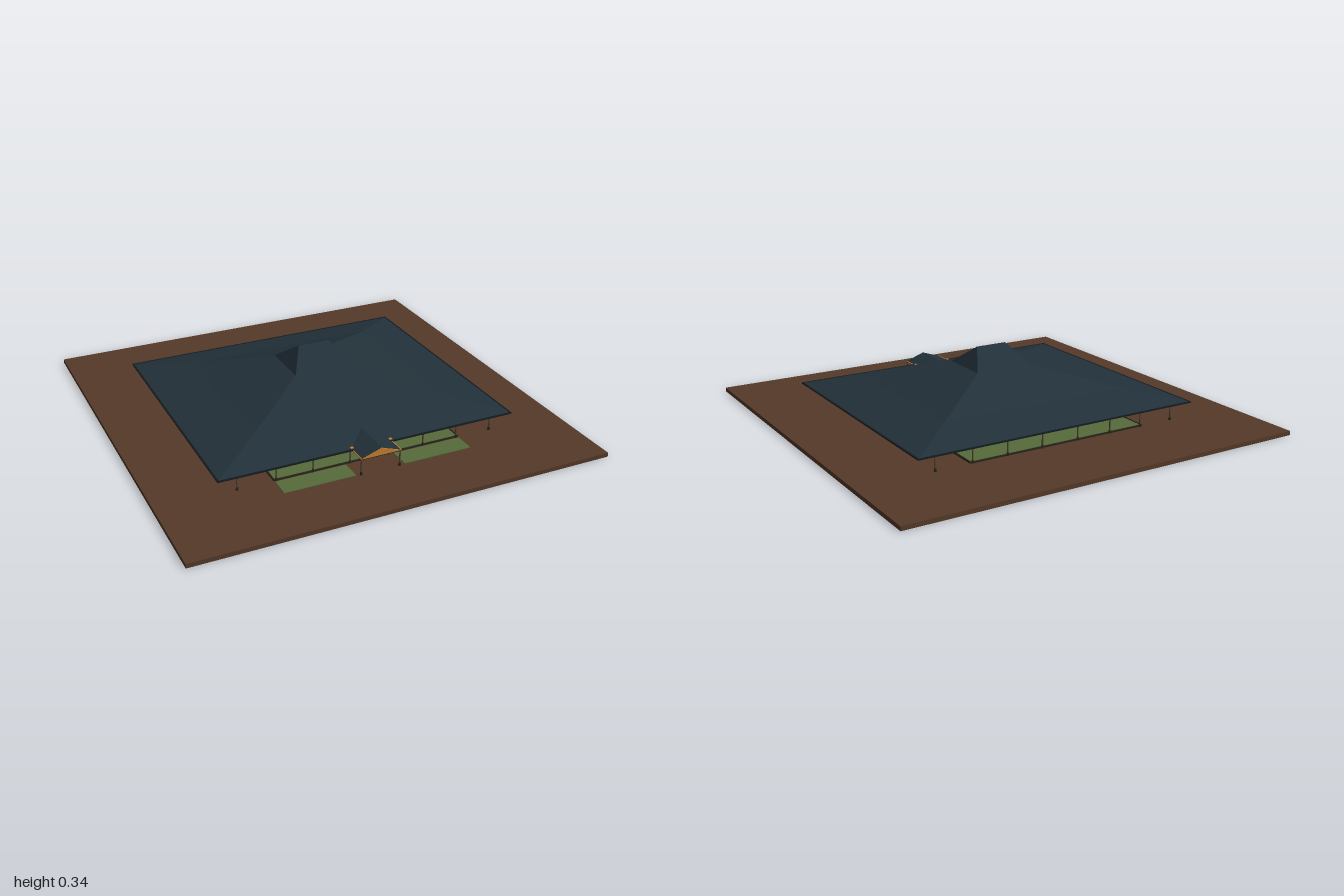
import * as THREE from 'three';

const mat = (color, side = THREE.FrontSide) =>
  new THREE.MeshStandardMaterial({ color, side, flatShading: true });
const EARTH = mat(0x553a29), GRASS = mat(0x566b3c), WOOD = mat(0x55452f), DARK = mat(0x2b261c);
const ORANGE = mat(0xc8802f, THREE.DoubleSide), TILE = mat(0x22313a, THREE.DoubleSide), EDGE = mat(0x151c20);

function add(parent, name, geometry, material, x = 0, y = 0, z = 0) {
  const mesh = new THREE.Mesh(geometry, material);
  mesh.name = name;
  mesh.position.set(x, y, z);
  parent.add(mesh);
  return mesh;
}

// Box given by its centre in x and z, and its bottom height
const box = (parent, name, material, w, h, d, x, y, z) =>
  add(parent, name, new THREE.BoxGeometry(w, h, d), material, x, y + h / 2, z);

// Faceted surface from four-cornered faces
function quads(faces) {
  const pos = [];
  for (const [a, b, c, d] of faces) pos.push(...a, ...b, ...c, ...a, ...c, ...d);
  const g = new THREE.BufferGeometry();
  g.setAttribute('position', new THREE.Float32BufferAttribute(pos, 3));
  g.computeVertexNormals();
  return g;
}

// Hipped roof built from stacked rectangles: [half width, height, half depth]
function hippedRoof(levels) {
  const ring = ([w, y, d]) => [[-w, y, d], [w, y, d], [w, y, -d], [-w, y, -d]];
  const faces = [];
  for (let i = 0; i < levels.length - 1; i++) {
    const lo = ring(levels[i]), hi = ring(levels[i + 1]);
    for (let k = 0; k < 4; k++) {
      const n = (k + 1) % 4;
      faces.push([lo[k], lo[n], hi[n], hi[k]]);
    }
  }
  return quads(faces);
}

// Post with a wider foot and head
function post(parent, name, x, z) {
  const p = new THREE.Group();
  p.name = name;
  p.position.set(x, 0.02, z);
  add(p, 'postFoot', new THREE.CylinderGeometry(0.005, 0.007, 0.014, 8), DARK, 0, 0.007, 0);
  add(p, 'postShaft', new THREE.CylinderGeometry(0.0035, 0.0035, 0.078, 8), WOOD, 0, 0.041, 0);
  box(p, 'postHead', WOOD, 0.011, 0.006, 0.011, 0, 0.074, 0);
  parent.add(p);
}

export function createModel() {
  const model = new THREE.Group();
  model.name = 'pavilion';

  // Ground, raised floor and front beds
  box(model, 'ground', EARTH, 2, 0.02, 2, 0, 0, 0);
  box(model, 'floor', GRASS, 0.92, 0.005, 1.18, 0, 0.02, 0);
  for (const s of [-1, 1]) {
    box(model, 'frontBed', GRASS, 0.34, 0.003, 0.1, s * 0.29, 0.02, 0.65);
    box(model, 'floorSideCurb', DARK, 0.006, 0.008, 1.18, s * 0.46, 0.02, 0);
    box(model, 'floorEndCurb', DARK, 0.92, 0.008, 0.006, 0, 0.02, s * 0.59);
  }

  // Posts around the perimeter
  const posts = new THREE.Group();
  posts.name = 'posts';
  model.add(posts);
  const xs = [0.095, 0.275, 0.45, 0.63], zs = [0.08, 0.245, 0.412];
  for (const sx of [-1, 1]) for (const sz of [-1, 1]) {
    for (const x of xs) post(posts, 'endPost', sx * x, sz * 0.59);
    for (const z of zs) post(posts, 'sidePost', sx * 0.63, sz * z);
  }

  // Main roof with three pitches, and its eave frame
  add(model, 'mainRoof', hippedRoof([
    [0.725, 0.102, 0.62], [0.48, 0.152, 0.4], [0.15, 0.252, 0.125], [0.078, 0.342, 0.0005],
  ]), TILE);
  for (const s of [-1, 1]) {
    box(model, 'eaveEnd', EDGE, 1.456, 0.006, 0.008, 0, 0.098, s * 0.62);
    box(model, 'eaveSide', EDGE, 0.008, 0.006, 1.24, s * 0.724, 0.098, 0);
  }

  // Entrance porch: gabled roof meeting the main slope
  const porch = new THREE.Group();
  porch.name = 'porch';
  model.add(porch);
  const slopes = [-1, 1].map((s) => {
    const face = [[s * 0.095, 0.102, 0.705], [s * 0.095, 0.102, 0.605], [0, 0.135, 0.51], [0, 0.135, 0.705]];
    return s > 0 ? face : face.reverse();
  });
  add(porch, 'porchRoof', quads(slopes), TILE);
  const gable = new THREE.Shape([
    new THREE.Vector2(-0.088, 0), new THREE.Vector2(0.088, 0), new THREE.Vector2(0, 0.03),
  ]);
  add(porch, 'gable', new THREE.ExtrudeGeometry(gable, { depth: 0.004, bevelEnabled: false }), ORANGE, 0, 0.102, 0.7);
  box(porch, 'frontBeam', ORANGE, 0.19, 0.005, 0.006, 0, 0.097, 0.7);
  for (const s of [-1, 1]) {
    post(porch, 'porchPost', s * 0.095, 0.7);
    box(porch, 'sideBeam', ORANGE, 0.007, 0.005, 0.11, s * 0.096, 0.097, 0.65);
    box(porch, 'beamBracket', ORANGE, 0.014, 0.006, 0.012, s * 0.096, 0.102, 0.607);
  }
  return model;
}
